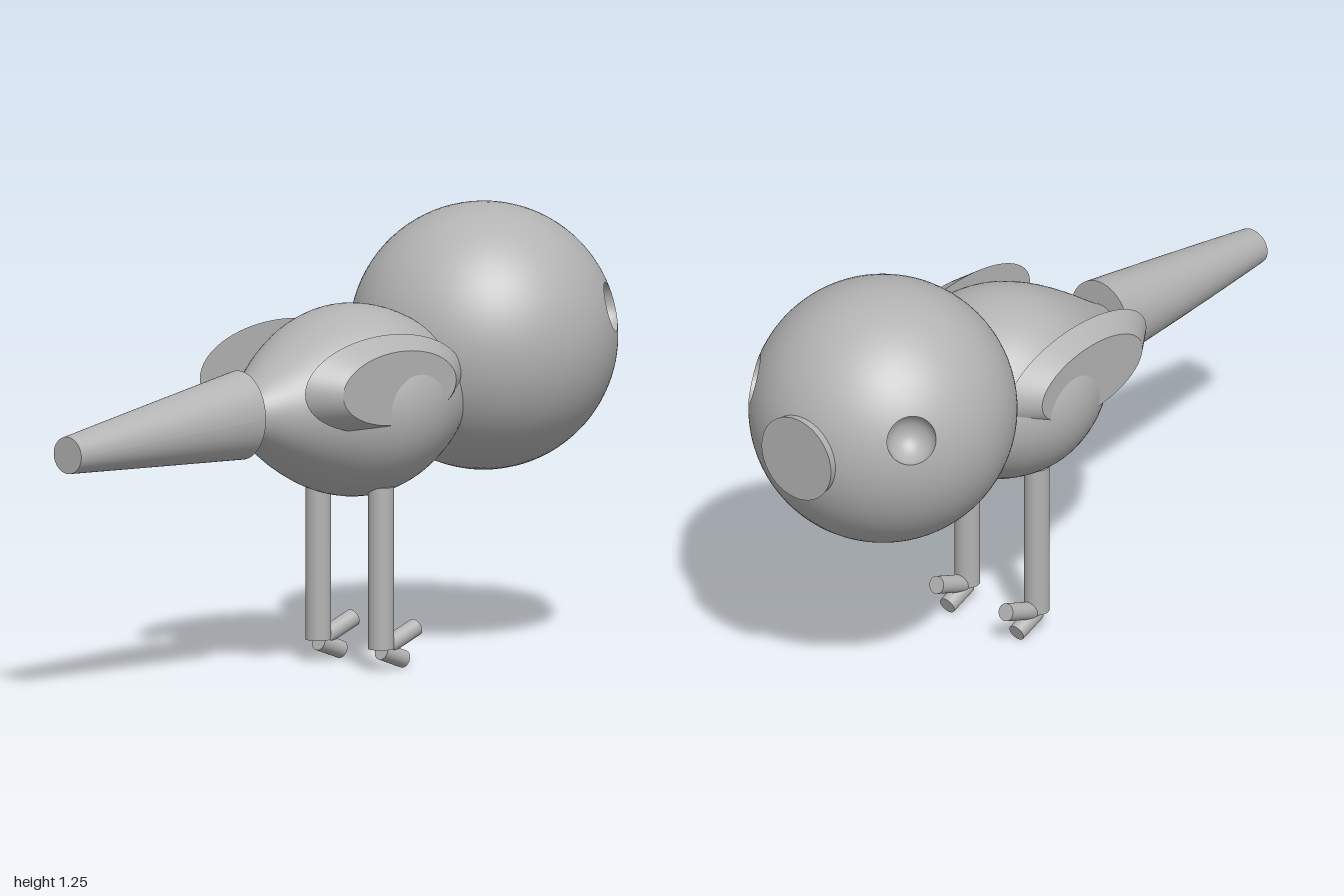
import * as THREE from 'three';

const grey = new THREE.MeshStandardMaterial({ color: 0xb3b3b3, side: THREE.DoubleSide });
grey.name = 'grey';

function part(name, geometry, x = 0, y = 0, z = 0) {
  const mesh = new THREE.Mesh(geometry, grey);
  mesh.name = name;
  mesh.position.set(x, y, z);
  return mesh;
}

// Grid of rings around an axis; sample(t, angle) returns [position, normal].
function ringPatch(sample, rows, cols) {
  const pos = [], nor = [], index = [];
  for (let i = 0; i <= rows; i++) {
    for (let j = 0; j <= cols; j++) {
      const [p, n] = sample(i / rows, (j / cols) * Math.PI * 2);
      pos.push(p.x, p.y, p.z);
      nor.push(n.x, n.y, n.z);
      if (i === rows || j === cols) continue;
      const a = i * (cols + 1) + j, b = a + cols + 1;
      index.push(a, b, a + 1, b, b + 1, a + 1);
    }
  }
  const g = new THREE.BufferGeometry();
  g.setAttribute('position', new THREE.Float32BufferAttribute(pos, 3));
  g.setAttribute('normal', new THREE.Float32BufferAttribute(nor, 3));
  g.setIndex(index);
  return g;
}

// Half of the head, wrapped around a hollow eye socket.
function headHalf(side) {
  const R = 0.375, r = 0.07;
  const e = new THREE.Vector3(0.22, 0.088, 0.285 * side).normalize();
  const u = new THREE.Vector3(0, 1, 0).addScaledVector(e, -e.y).normalize();
  const v = e.clone().cross(u);
  const dir = (a) => u.clone().multiplyScalar(Math.cos(a)).addScaledVector(v, Math.sin(a));
  const rim = Math.asin(r / R);
  const shell = ringPatch((t, a) => {
    const d = dir(a);
    const end = Math.atan2(side * e.z, -side * d.z); // reaches the middle plane
    const th = rim + (end - rim) * t;
    const n = e.clone().multiplyScalar(Math.cos(th)).addScaledVector(d, Math.sin(th));
    return [n.clone().multiplyScalar(R), n];
  }, 40, 80);
  const centre = e.clone().multiplyScalar(Math.sqrt(R * R - r * r));
  const socket = ringPatch((t, a) => {
    const b = t * Math.PI / 2;
    const n = e.clone().multiplyScalar(Math.cos(b)).addScaledVector(dir(a), -Math.sin(b));
    return [centre.clone().addScaledVector(n, -r), n];
  }, 14, 80);
  return [part('headShell', shell), part('eyeSocket', socket)];
}

// Cylinder between two points.
function rod(name, from, to, radius) {
  const a = new THREE.Vector3(...from), b = new THREE.Vector3(...to);
  const d = b.clone().sub(a);
  const mesh = part(name, new THREE.CylinderGeometry(radius, radius, d.length(), 32));
  mesh.position.copy(a).add(b).multiplyScalar(0.5);
  mesh.quaternion.setFromUnitVectors(new THREE.Vector3(0, 1, 0), d.normalize());
  return mesh;
}

// Unit cylinder whose vertices are moved by a rule(position, t along its axis).
function shapedCylinder(rows, rule) {
  const g = new THREE.CylinderGeometry(1, 1, 1, 64, rows);
  const p = g.attributes.position, v = new THREE.Vector3();
  for (let i = 0; i < p.count; i++) {
    v.fromBufferAttribute(p, i);
    p.setXYZ(i, ...rule(v, v.y + 0.5));
  }
  g.computeVertexNormals();
  return g;
}

export function createModel() {
  const bird = new THREE.Group();
  bird.name = 'bird';

  // Head with two hollow eyes
  const head = new THREE.Group();
  head.name = 'head';
  head.position.set(0.62, 0.88, 0);
  head.add(...headHalf(1), ...headHalf(-1));
  bird.add(head);

  // Beak: blunt cone widening to a flat front
  const beak = new THREE.CylinderGeometry(0.125, 0.09, 0.2, 64);
  beak.rotateZ(-Math.PI / 2);
  bird.add(part('beak', beak, 0.9, 0.88, 0));

  // Body: teardrop profile of [radius, x], a little wider than tall
  const profile = [[0.05, -0.34], [0.075, -0.3], [0.145, -0.2], [0.207, -0.1], [0.252, 0],
    [0.27, 0.1], [0.256, 0.2], [0.214, 0.3], [0.163, 0.38], [0.09, 0.45], [0, 0.48]];
  const curve = new THREE.SplineCurve(profile.map(([r, x]) => new THREE.Vector2(r, x)));
  const points = curve.getPoints(50);
  points.forEach((p) => { p.x = Math.max(0, p.x); });
  const body = new THREE.LatheGeometry(points, 72);
  body.rotateZ(-Math.PI / 2);
  body.scale(1, 1, 1.075);
  bird.add(part('body', body, 0, 0.753, 0));

  // Tail: tapering, dropping slightly, with upright ends
  const tail = shapedCylinder(8, (v, t) => {
    const s = 1 - t; // 0 at the body, 1 at the tip
    const ry = 0.125 - 0.073 * s, rz = 0.105 - 0.05 * s + 0.02 * s * t;
    return [-1 + 0.67 * t, 0.755 - 0.043 * s - v.x * ry, v.z * rz];
  });
  bird.add(part('tail', tail));

  for (const side of [1, -1]) {
    const label = side > 0 ? 'Front' : 'Back';

    // Wing: bevelled oval plate against the body
    const wing = shapedCylinder(1, (v, t) => [
      0.025 + 0.005 * t + v.x * (0.305 - 0.085 * t),
      0.83 - 0.008 * t - side * v.z * (0.135 - 0.032 * t),
      side * (0.21 + 0.06 * t),
    ]);
    bird.add(part('wing' + label, wing));

    // Leg with two toes
    const z = 0.125 * side;
    bird.add(
      rod('leg' + label, [0.098, 0.065, z], [0.098, 0.522, z], 0.036),
      rod('upperToe' + label, [0.12, 0.07, z], [0.233, 0.112, z], 0.025),
      rod('lowerToe' + label, [0.1, 0.058, z], [0.186, 0.027, z], 0.025),
    );
  }
  return bird;
}
